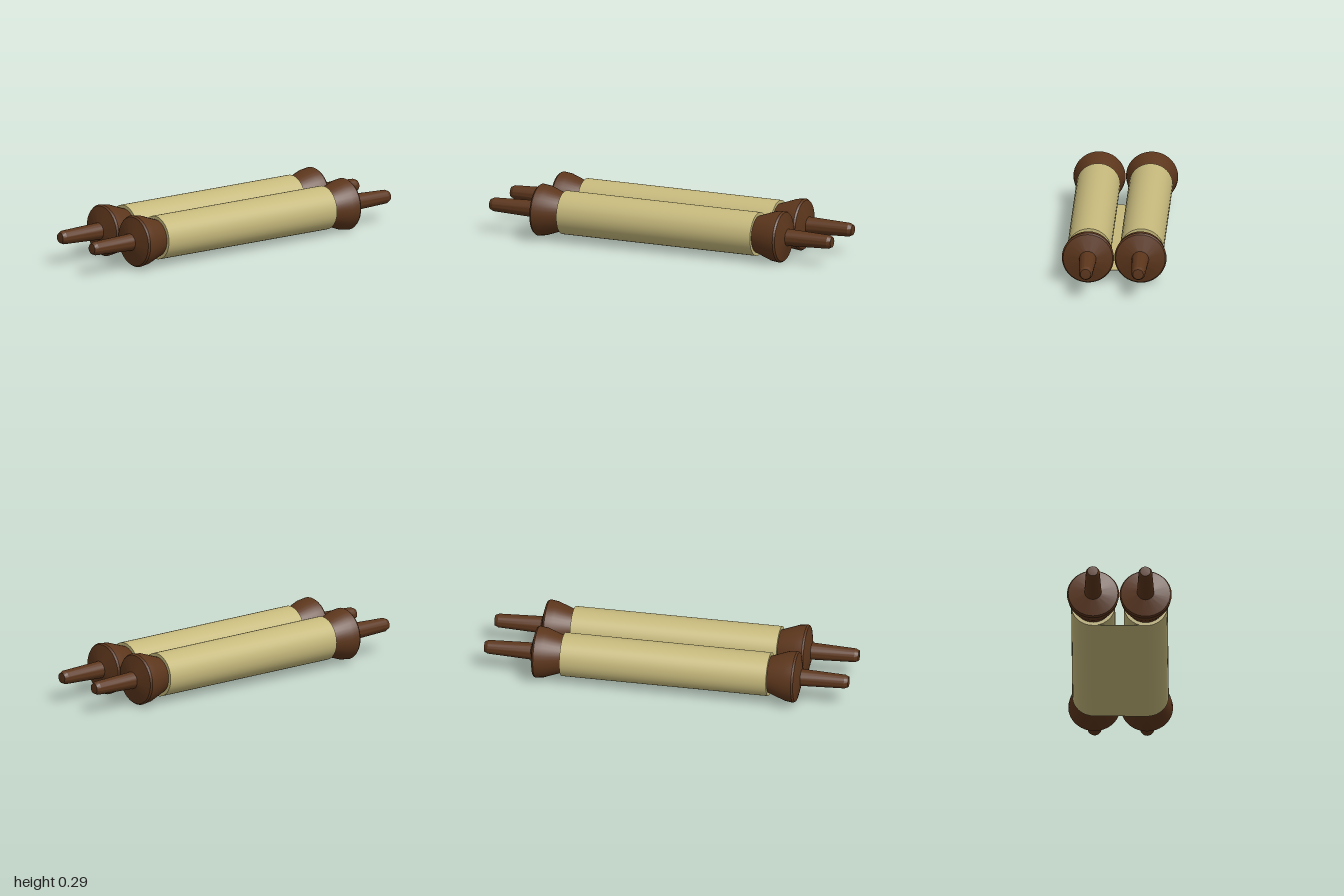
import * as THREE from 'three';
import { toCreasedNormals } from 'three/addons/utils/BufferGeometryUtils.js';

const wood = new THREE.MeshStandardMaterial({ color: 0x5c361c });
const parchment = new THREE.MeshStandardMaterial({ color: 0xc6b97c });
const sheetMaterial = new THREE.MeshStandardMaterial({ color: 0xc6b97c, side: THREE.DoubleSide });

const ROLL_RADIUS = 0.118;
const ROLL_LENGTH = 1.13;
const SPACING = 0.141;

// Turned knob and handle, revolved about y and laid along +z
function finialGeometry() {
  const profile = [
    [0, 0.56], [0.098, 0.56], [0.134, 0.66], [0.14, 0.705], [0.133, 0.715],
    [0.046, 0.737], [0.037, 0.975], [0.028, 0.995], [0, 0.997],
  ].map(([r, y]) => new THREE.Vector2(r, y));
  const geometry = new THREE.LatheGeometry(profile, 36);
  geometry.rotateX(Math.PI / 2);
  return toCreasedNormals(geometry, 0.35);
}

// One roll of parchment with a finial at each end
function makeRod(name, x, y) {
  const rod = new THREE.Group();
  rod.name = name;

  const roll = new THREE.Mesh(
    new THREE.CylinderGeometry(ROLL_RADIUS, ROLL_RADIUS, ROLL_LENGTH, 40), parchment);
  roll.name = 'parchmentRoll';
  roll.rotation.x = Math.PI / 2;
  rod.add(roll);

  const geometry = finialGeometry();
  for (const [end, turn] of [['front', 0], ['back', Math.PI]]) {
    const finial = new THREE.Mesh(geometry, wood);
    finial.name = end + 'Finial';
    finial.rotation.y = turn;
    rod.add(finial);
  }
  rod.position.set(x, y, 0);
  return rod;
}

export function createModel() {
  const scroll = new THREE.Group();
  scroll.name = 'scroll';
  scroll.add(makeRod('leftRod', SPACING, 0.0), makeRod('rightRod', -SPACING, 0.003));

  // Flat stretch of parchment joining the undersides of the rolls
  const sheet = new THREE.Mesh(
    new THREE.BoxGeometry(2 * SPACING, 0.003, ROLL_LENGTH), sheetMaterial);
  sheet.name = 'parchmentSheet';
  sheet.position.y = 0.003 - ROLL_RADIUS;
  sheet.rotation.z = -0.01;
  scroll.add(sheet);

  // The scroll lies with its front end slightly raised
  scroll.position.y = 0.15;
  scroll.rotation.x = -0.0085;

  const model = new THREE.Group();
  model.name = 'model';
  model.add(scroll);
  return model;
}
